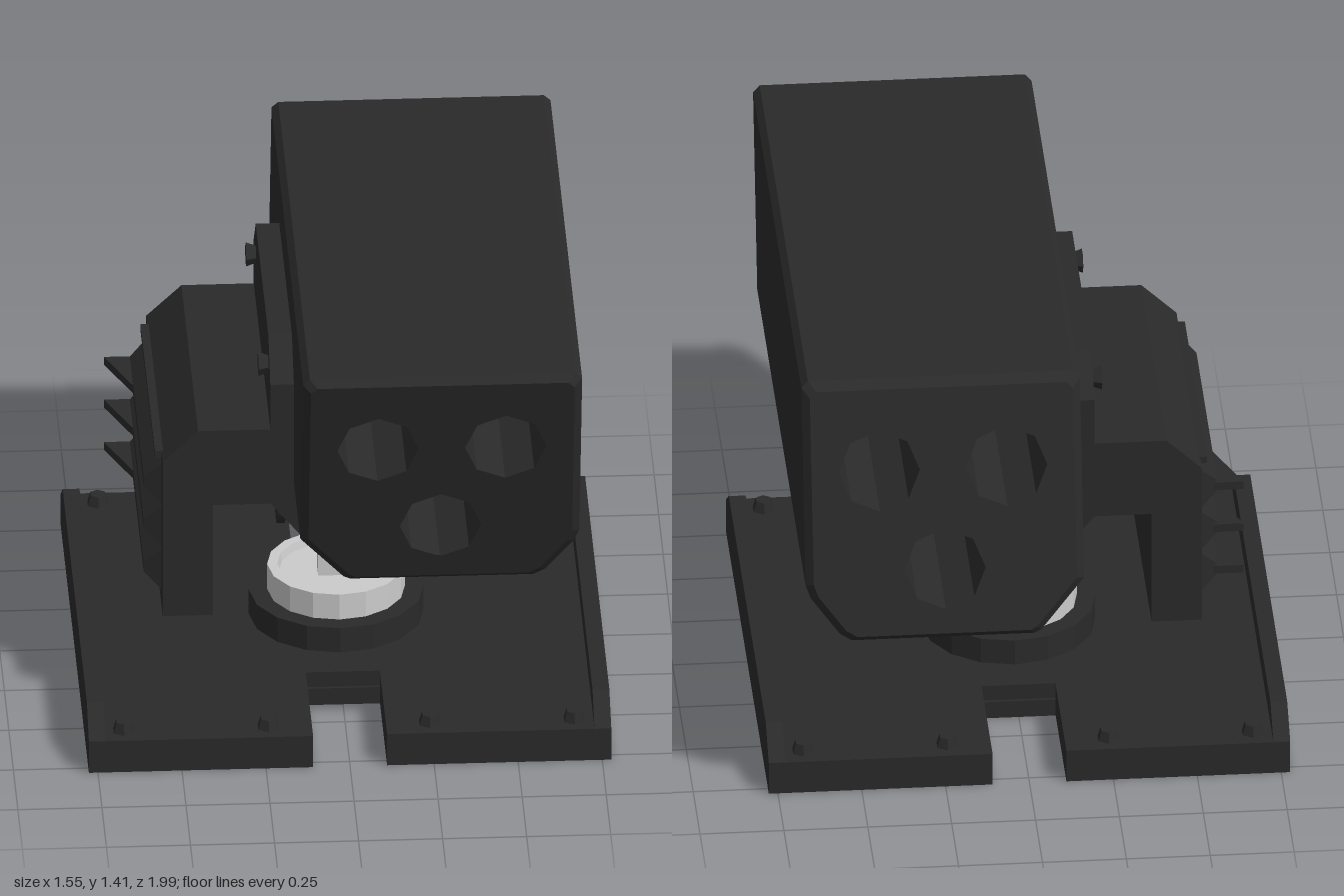
import * as THREE from 'three';

const dark = new THREE.MeshStandardMaterial({ color: 0x2a2a2a, flatShading: true });
const darkSmooth = new THREE.MeshStandardMaterial({ color: 0x2a2a2a });
const grey = new THREE.MeshStandardMaterial({ color: 0xcccccc, flatShading: true });

const shapeOf = (pts) => new THREE.Shape(pts.map(([x, y]) => new THREE.Vector2(x, y)));

// Prism along z, centred on z = 0
function prism(pts, depth) {
  const g = new THREE.ExtrudeGeometry(shapeOf(pts), { depth, bevelEnabled: false });
  return g.translate(0, 0, -depth / 2);
}

// Prism with a (z, y) profile, running along x
const sidePrism = (pts, width) => prism(pts, width).rotateY(-Math.PI / 2);

export function createModel() {
  const model = new THREE.Group();
  function add(parent, name, geo, x = 0, y = 0, z = 0, mat = dark) {
    const m = new THREE.Mesh(geo, mat);
    m.name = name;
    m.position.set(x, y, z);
    parent.add(m);
    return m;
  }
  function group(name) {
    const g = new THREE.Group();
    g.name = name;
    model.add(g);
    return g;
  }

  // Base plate with a slot at the front and back
  const base = group('base');
  const plan = [
    [-0.73, -0.78], [-0.11, -0.78], [-0.11, -0.38], [0.11, -0.38], [0.11, -0.78], [0.73, -0.78],
    [0.73, 0.78], [0.11, 0.78], [0.11, 0.38], [-0.11, 0.38], [-0.11, 0.78], [-0.73, 0.78],
  ];
  add(base, 'basePlate', new THREE.ExtrudeGeometry(shapeOf(plan), { depth: 0.105, bevelEnabled: false })
    .rotateX(-Math.PI / 2));
  const railProfile = [[-0.78, 0], [0.78, 0], [0.78, 0.105], [0.67, 0.18], [-0.67, 0.18], [-0.78, 0.105]];
  for (const sx of [-1, 1]) {
    add(base, 'sideRail', sidePrism(railProfile, 0.05), sx * 0.752);
    add(base, 'slotStep', new THREE.BoxGeometry(0.22, 0.055, 0.06), 0, 0.0275, sx * 0.36);
    for (const sz of [-1, 1]) {
      for (const bx of [0.24, 0.67]) {
        add(base, 'baseBolt', new THREE.CylinderGeometry(0.025, 0.036, 0.035, 6), sx * bx, 0.12, sz * 0.715);
      }
    }
  }

  // Turntable: dark collar, grey rimmed disc and post
  const turntable = group('turntable');
  add(turntable, 'collar', new THREE.CylinderGeometry(0.26, 0.26, 0.087, 16), 0, 0.143, 0);
  const discProfile = [[0, 0.18], [0.205, 0.18], [0.205, 0.27], [0.175, 0.27], [0.17, 0.245], [0, 0.245]]
    .map(([x, y]) => new THREE.Vector2(x, y));
  add(turntable, 'disc', new THREE.LatheGeometry(discProfile, 16), 0, 0, 0, grey);
  add(turntable, 'post', new THREE.BoxGeometry(0.11, 0.22, 0.07), 0, 0.35, 0, grey);

  // Tilt hub lying across the post
  const hub = group('tiltHub');
  const axle = (r, len) => new THREE.CylinderGeometry(r, r, len, 24).rotateZ(Math.PI / 2);
  add(hub, 'hubBarrel', axle(0.076, 0.32), 0, 0.52, 0, darkSmooth);
  for (const sx of [-1, 1]) {
    add(hub, 'hubFlange', axle(0.1, 0.024), sx * 0.167, 0.52, 0, darkSmooth);
    add(hub, 'hubCap', axle(0.05, 0.006), sx * 0.18, 0.52, 0, darkSmooth);
  }

  // Side bracket: hanging arm, shoulder and strut to the hub
  const bracket = group('bracket');
  add(bracket, 'bracketArm', prism([
    [-0.54, 0.35], [-0.39, 0.35], [-0.39, 0.72], [-0.22, 0.72], [-0.12, 0.6], [0, 0.6],
    [0, 0.635], [-0.14, 0.79], [-0.14, 0.97], [-0.435, 0.97], [-0.54, 0.87],
  ], 0.92));
  add(bracket, 'mountingPlate', sidePrism([
    [-0.46, 0.96], [0.46, 0.96], [0.46, 1.12], [0.35, 1.23], [-0.35, 1.23], [-0.46, 1.12],
  ], 0.08), -0.18);
  for (const sz of [-1, 1]) {
    add(bracket, 'plateBolt', new THREE.CylinderGeometry(0.036, 0.025, 0.032, 6).rotateZ(Math.PI / 2),
      -0.234, 1.13, sz * 0.345);
  }

  // Tapered ribs on the arm, each with a small triangular fin at the back
  for (const y of [0.475, 0.618, 0.762]) {
    const rib = new THREE.BoxGeometry(0.055, 0.14, 0.8);
    const p = rib.attributes.position;
    for (let i = 0; i < p.count; i++) {
      if (p.getX(i) < 0) p.setXYZ(i, p.getX(i), p.getY(i) * 0.25, p.getZ(i) * 0.94);
    }
    add(bracket, 'rib', rib, -0.565, y, 0);
    const fin = new THREE.ExtrudeGeometry(shapeOf([[-0.67, 0.385], [-0.58, 0.385], [-0.58, 0.17]]),
      { depth: 0.026, bevelEnabled: false }).rotateX(-Math.PI / 2);
    add(bracket, 'fin', fin, 0, y - 0.013, 0);
  }
  add(bracket, 'topRib', new THREE.BoxGeometry(0.08, 0.022, 0.8), -0.52, 0.863, 0);

  // Housing with three through-bores, bevelled end rims and slanted ends
  const holes = [[0.075, 1.145], [0.455, 1.145], [0.265, 0.845]];
  const radius = 0.121;
  const outline = shapeOf([
    [0, 0.63], [0.545, 0.63], [0.58, 0.65], [0.665, 0.76], [0.68, 0.8], [0.68, 1.39], [0.66, 1.41],
    [-0.13, 1.41], [-0.15, 1.39], [-0.15, 0.79], [-0.02, 0.64],
  ]);
  for (const [hx, hy] of holes) {
    const hole = [];
    for (let i = 0; i < 8; i++) {
      const a = -i * Math.PI / 4;
      hole.push(new THREE.Vector2(hx + radius * Math.cos(a), hy + radius * Math.sin(a)));
    }
    outline.holes.push(new THREE.Path(hole));
  }
  const body = new THREE.ExtrudeGeometry(outline, { depth: 3, steps: 3, bevelEnabled: false });
  const layers = [-0.9, -0.875, 0.875, 0.9];
  const pos = body.attributes.position;
  for (let i = 0; i < pos.count; i++) {
    let x = pos.getX(i), y = pos.getY(i);
    const layer = Math.round(pos.getZ(i));
    const onBore = holes.some(([hx, hy]) => Math.hypot(x - hx, y - hy) < radius + 0.001);
    if (!onBore && (layer === 0 || layer === 3)) {
      x = 0.265 + (x - 0.265) * 0.945;
      y = 1.02 + (y - 1.02) * 0.945;
    }
    pos.setXYZ(i, x, y, layers[layer] + (y - 1.02) * 0.256);
  }
  body.computeVertexNormals();
  add(model, 'housing', body);

  return model;
}
